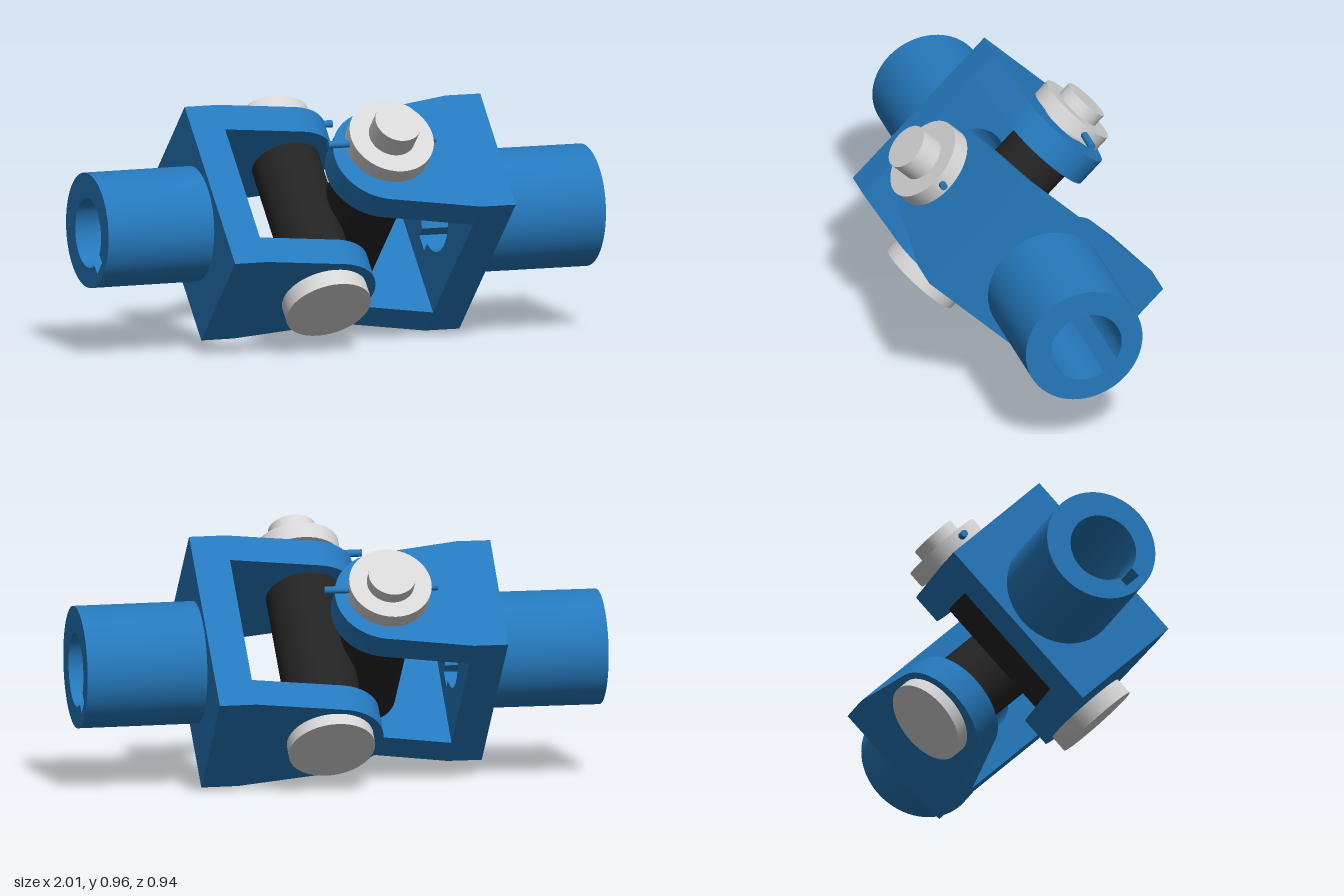
import * as THREE from 'three';
import { toCreasedNormals } from 'three/addons/utils/BufferGeometryUtils.js';

const material = (name, color) => {
  const m = new THREE.MeshStandardMaterial({ color });
  m.name = name;
  return m;
};

export function createModel() {
  const blue = material('blue paint', 0x2579bd);
  const steel = material('light steel', 0xd6d6d6);
  const black = material('black rubber', 0x232323);

  const add = (parent, name, geometry, mat, x = 0, y = 0, z = 0) => {
    const mesh = new THREE.Mesh(geometry, mat);
    mesh.name = name;
    mesh.position.set(x, y, z);
    parent.add(mesh);
    return mesh;
  };
  const extrude = (shape, depth) => toCreasedNormals(
    new THREE.ExtrudeGeometry(shape, { depth, bevelEnabled: false, curveSegments: 32 }), 0.5);
  // Upright cylinder from y0 to y1
  const rod = (parent, name, r, y0, y1, mat, x, z = 0) =>
    add(parent, name, new THREE.CylinderGeometry(r, r, y1 - y0, 40), mat, x, (y0 + y1) / 2, z);

  // Round bore with a square keyway on its lower side
  function boreHole(r) {
    const k = 0.035, c = -0.012, a = Math.asin(k / r);
    const hole = new THREE.Path();
    hole.moveTo(k, -1.36 * r);
    hole.lineTo(k, c - r * Math.cos(a));
    hole.absarc(0, c, r, -Math.PI / 2 + a, Math.PI * 1.5 - a, false);
    hole.lineTo(-k, -1.36 * r);
    hole.closePath();
    return hole;
  }

  // One yoke: the shaft runs along local +x, the arms sit at local +y and -y
  function yoke(o) {
    const g = new THREE.Group();
    const h = o.height / 2, w = o.width / 2;

    const tube = new THREE.Shape();
    tube.absarc(0, 0, o.tubeR, 0, Math.PI * 2, false);
    tube.holes.push(boreHole(o.boreR));
    add(g, 'shaftSocket', extrude(tube, 1 - o.outer).rotateY(Math.PI / 2), blue, o.outer);

    const plate = new THREE.Shape([
      new THREE.Vector2(-w, -h), new THREE.Vector2(w, -h),
      new THREE.Vector2(w, h), new THREE.Vector2(-w, h)]);
    plate.holes.push(boreHole(o.boreR));
    add(g, 'yokeBase', extrude(plate, o.outer - o.inner).rotateY(Math.PI / 2), blue, o.inner);

    // Arms taper from the base to a round eye
    const d = o.inner - o.pivot;
    const phi = Math.atan2(w, d) + Math.acos(o.eyeR / Math.hypot(d, w));
    const arm = new THREE.Shape();
    arm.moveTo(o.inner, -w);
    arm.lineTo(o.inner, w);
    arm.absarc(o.pivot, 0, o.eyeR, phi, Math.PI * 2 - phi, false);
    arm.closePath();
    const armGeometry = extrude(arm, o.thick).rotateX(-Math.PI / 2);
    add(g, 'upperArm', armGeometry, blue, 0, h - o.thick);
    add(g, 'lowerArm', armGeometry, blue, 0, -h);

    // Pin with a flat head, a collar and a thin locking rod
    const z = o.pinZ;
    rod(g, 'pinShaft', 0.09, -h, o.pinEnd, steel, o.pivot, z);
    rod(g, 'pinHead', 0.165, o.head, -h, steel, o.pivot, z);
    rod(g, 'pinCollar', o.collarR, o.collar[0], o.collar[1], steel, o.pivot, z);
    const lock = rod(g, 'lockingRod', 0.014, -0.2175, 0.2175, blue, o.pivot - 0.032, z);
    lock.position.y = (o.collar[0] + o.collar[1]) / 2;
    lock.rotation.z = Math.PI / 2;

    // Half of the centre cross, filling the gap between the arms
    rod(g, 'crossBarrel', o.barrelR, -h + o.thick, h - o.thick, black, o.barrelX, z);

    g.rotation.set(o.turn, o.flip, 0);
    const tilted = new THREE.Group();
    tilted.name = o.name;
    tilted.position.set(0, o.y, o.z);
    tilted.rotation.set(0, o.tiltY, o.tiltZ);
    tilted.add(g);
    return tilted;
  }

  const model = new THREE.Group();
  model.name = 'universalJoint';
  model.add(yoke({
    name: 'leftYoke', turn: Math.PI / 4, flip: 0, y: 0.471, z: 0.002, tiltY: 0.016, tiltZ: -0.009,
    height: 0.79, width: 0.52, thick: 0.115, pivot: 0.083, inner: 0.4, outer: 0.54, eyeR: 0.205,
    tubeR: 0.231, boreR: 0.14, pinZ: -0.015, pinEnd: 0.59, head: -0.443,
    collar: [0.43, 0.498], collarR: 0.165, barrelR: 0.144, barrelX: 0.083,
  }));
  model.add(yoke({
    name: 'rightYoke', turn: -Math.PI / 4, flip: Math.PI, y: 0.481, z: -0.024, tiltY: 0.011, tiltZ: -0.002,
    height: 0.735, width: 0.488, thick: 0.115, pivot: 0.143, inner: 0.44, outer: 0.572, eyeR: 0.2,
    tubeR: 0.218, boreR: 0.132, pinZ: 0, pinEnd: 0.5, head: -0.434,
    collar: [0.387, 0.45], collarR: 0.157, barrelR: 0.13, barrelX: 0.128,
  }));
  return model;
}
